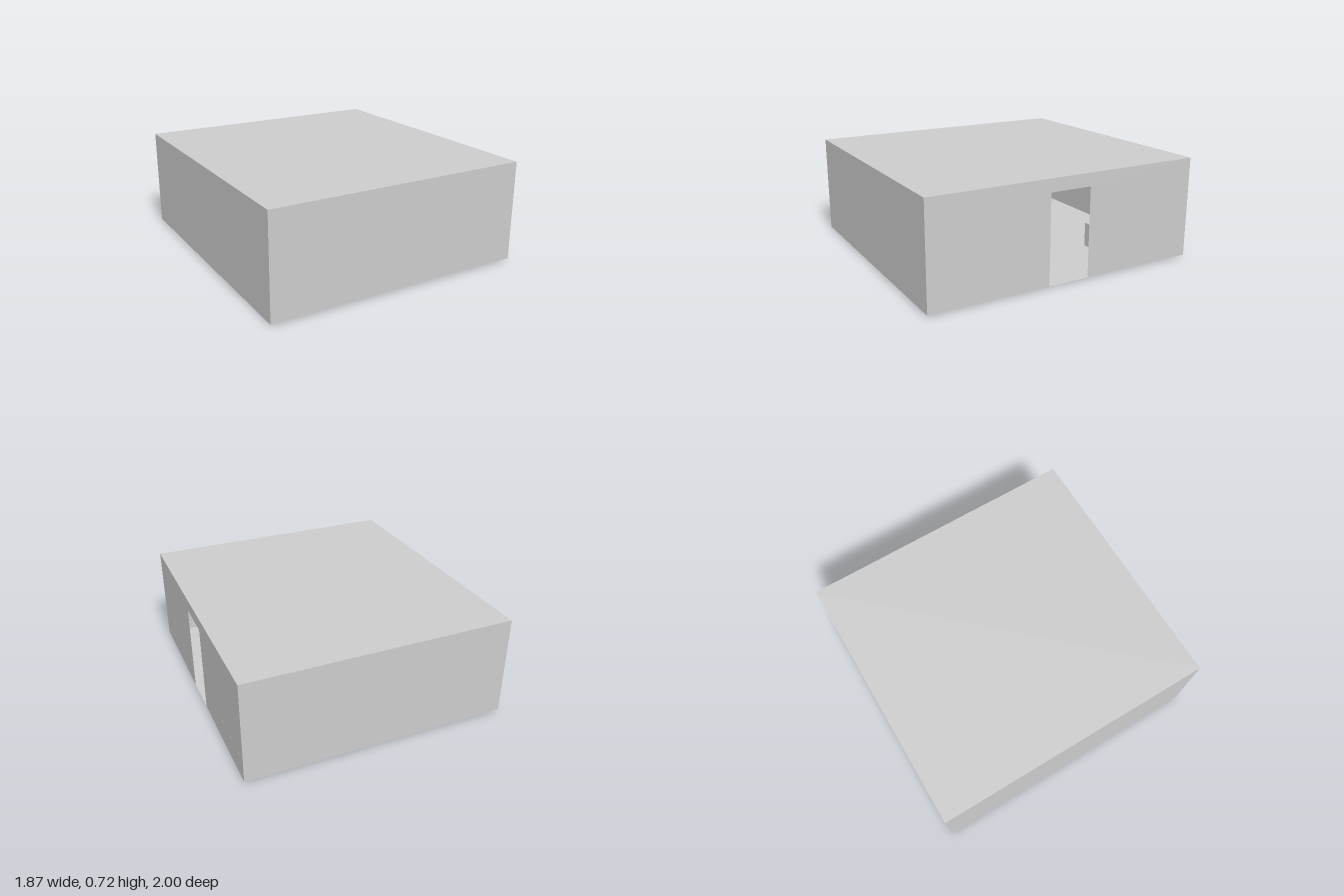
import * as THREE from 'three';

const W = 0.935, D = 1, Y0 = 0.008, Y1 = 0.72;

export function createModel() {
  const model = new THREE.Group();
  const shellMaterial = new THREE.MeshStandardMaterial({ color: 0xcccccc, side: THREE.DoubleSide });
  const solidMaterial = new THREE.MeshStandardMaterial({ color: 0xcccccc });

  // Thin rectangular panel of the room shell
  function panel(name, w, h, position, rotX = 0, rotY = 0) {
    const mesh = new THREE.Mesh(new THREE.PlaneGeometry(w, h), shellMaterial);
    mesh.name = name;
    mesh.position.set(...position);
    mesh.rotation.set(rotX, rotY, 0);
    model.add(mesh);
  }

  // Furniture block given by its minimum and maximum corners
  function block(name, [x0, y0, z0], [x1, y1, z1], parent = model) {
    const mesh = new THREE.Mesh(new THREE.BoxGeometry(x1 - x0, y1 - y0, z1 - z0), solidMaterial);
    mesh.name = name;
    mesh.position.set((x0 + x1) / 2, (y0 + y1) / 2, (z0 + z1) / 2);
    parent.add(mesh);
  }

  const H = Y1 - Y0, mid = (Y0 + Y1) / 2;
  panel('floor', 2 * W, 2 * D, [0, Y0, 0], -Math.PI / 2);
  panel('ceiling', 2 * W, 2 * D, [0, Y1, 0], -Math.PI / 2);
  panel('frontWall', 2 * W, H, [0, mid, D]);
  panel('backWall', 2 * W, H, [0, mid, -D], 0, Math.PI);
  panel('plainSideWall', 2 * D, H, [-W, mid, 0], 0, -Math.PI / 2);

  // Side wall with the doorway
  const wall = new THREE.Shape();
  [[-D, Y0], [-0.15, Y0], [-0.15, 0.63], [0.15, 0.63], [0.15, Y0], [D, Y0], [D, Y1], [-D, Y1]]
    .forEach(([x, y], i) => (i ? wall.lineTo(x, y) : wall.moveTo(x, y)));
  const doorWall = new THREE.Mesh(new THREE.ShapeGeometry(wall), shellMaterial);
  doorWall.name = 'doorWall';
  doorWall.position.x = W;
  doorWall.rotation.y = Math.PI / 2;
  model.add(doorWall);

  // Furniture near the doorway
  block('sideTable', [0.425, Y0, -0.705], [0.53, 0.183, -0.505]);
  block('tallCabinet', [0.2, Y0, -0.99], [0.85, 0.5, -0.77]);

  // Raised bench opposite the doorway, on a plinth and a leg
  const bench = new THREE.Group();
  bench.name = 'bench';
  block('benchBody', [-0.9, 0.065, -0.4], [-0.5, 0.29, 0.4], bench);
  block('benchPlinth', [-0.88, Y0, -0.02], [-0.5, 0.065, 0.4], bench);
  block('benchLeg', [-0.88, Y0, -0.12], [-0.5, 0.065, -0.075], bench);
  model.add(bench);

  // Long counter and low chest along the front wall
  block('counter', [-0.92, Y0, 0.55], [-0.1, 0.25, 0.97]);
  block('chest', [0, 0, 0.79], [0.31, 0.2, 0.97]);

  return model;
}
